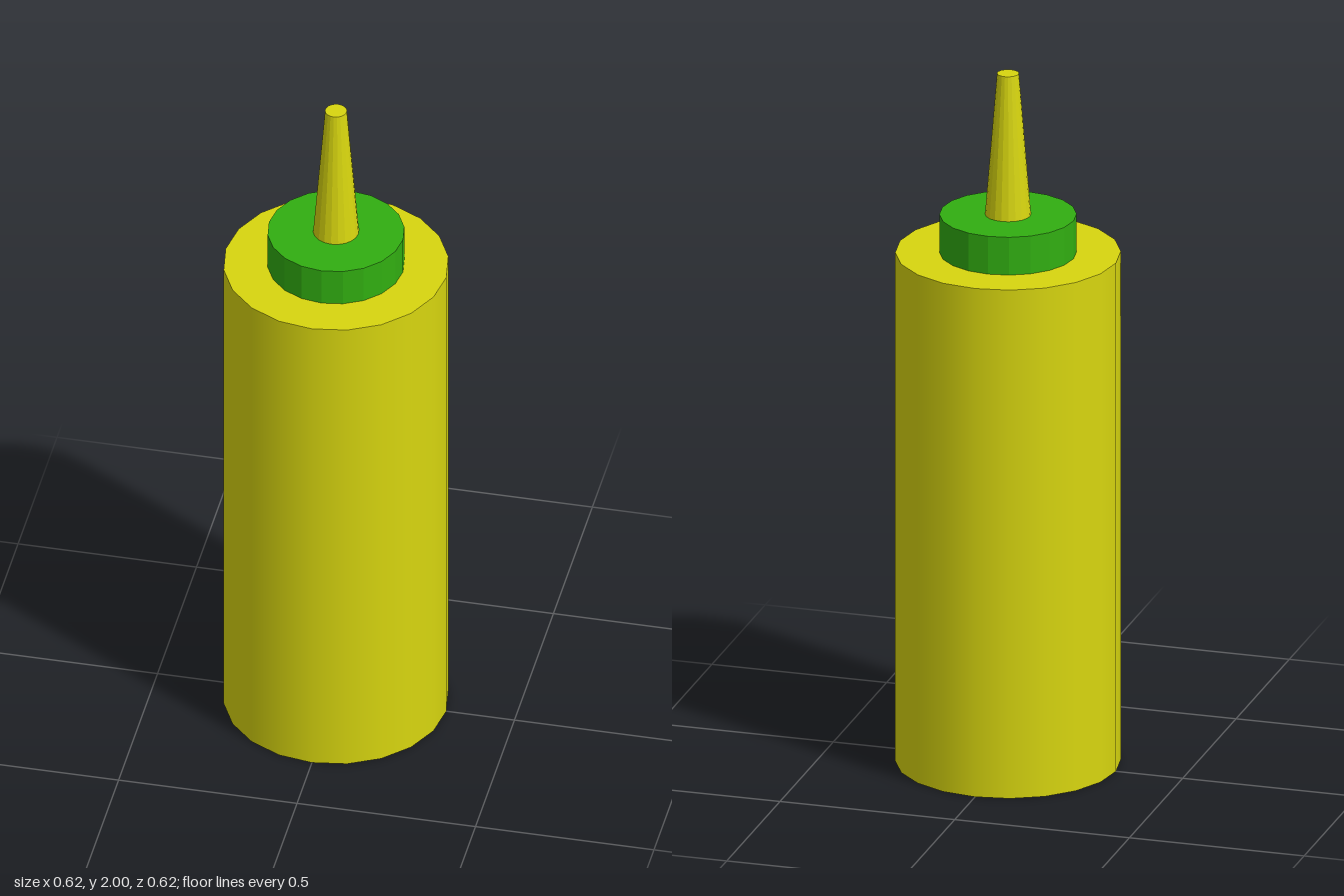
import * as THREE from 'three';

const SIDES = 20;

export function createModel() {
  const group = new THREE.Group();
  const yellow = new THREE.MeshStandardMaterial({ color: 0xd8d60f });
  const yellowFlat = new THREE.MeshStandardMaterial({ color: 0xd8d60f, flatShading: true });
  const greenFlat = new THREE.MeshStandardMaterial({ color: 0x31ae11, flatShading: true });

  // Upright round part from its radii and its bottom and top heights
  function round(name, topRadius, bottomRadius, bottom, top, material) {
    const geometry = new THREE.CylinderGeometry(topRadius, bottomRadius, top - bottom, SIDES);
    const mesh = new THREE.Mesh(geometry, material);
    mesh.name = name;
    mesh.position.y = (bottom + top) / 2;
    group.add(mesh);
  }

  round('bottleBody', 0.309, 0.309, 0, 1.48, yellow);
  round('screwCap', 0.188, 0.188, 1.48, 1.59, greenFlat);
  round('nozzle', 0.03, 0.063, 1.59, 2, yellowFlat);

  return group;
}
